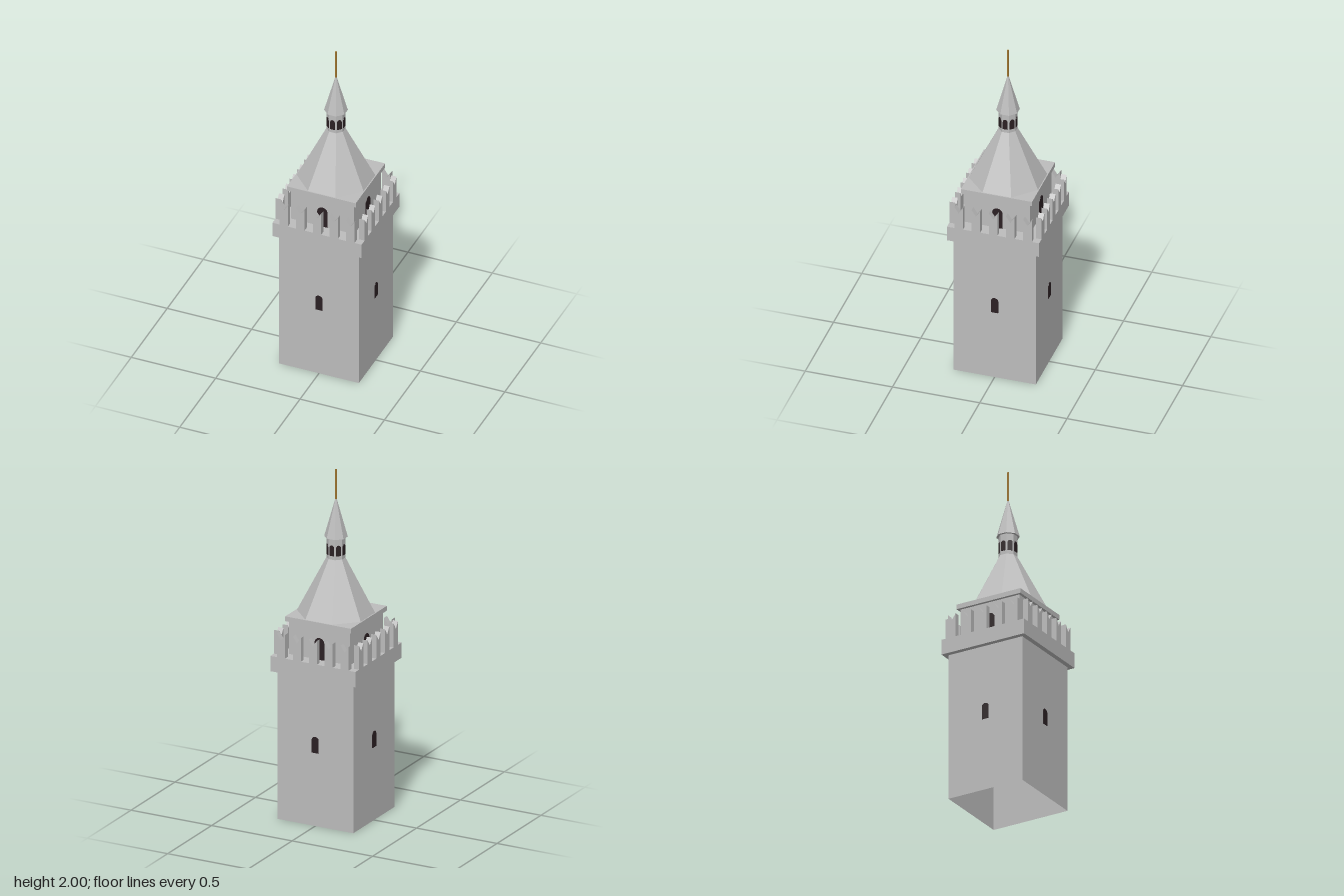
import * as THREE from 'three';
import { toCreasedNormals } from 'three/addons/utils/BufferGeometryUtils.js';

const stone = new THREE.MeshStandardMaterial({ color: 0xbcbcbc });
stone.name = 'stone';
const stoneShell = new THREE.MeshStandardMaterial({ color: 0xbcbcbc, side: THREE.DoubleSide });
stoneShell.name = 'stone shell';
const dark = new THREE.MeshStandardMaterial({ color: 0x2b2023 });
dark.name = 'dark opening';
const gold = new THREE.MeshStandardMaterial({ color: 0xa87c32 });
gold.name = 'gold';

function add(parent, name, geometry, material) {
  const mesh = new THREE.Mesh(geometry, material);
  mesh.name = name;
  parent.add(mesh);
  return mesh;
}

// Square block given by half width and bottom / top heights
function block(parent, name, half, y0, y1) {
  const mesh = add(parent, name, new THREE.BoxGeometry(half * 2, y1 - y0, half * 2), stone);
  mesh.position.y = (y0 + y1) / 2;
}

// Faceted prism or cone with flats facing the axes; sizes are centre-to-flat distances
function prism(parent, name, sides, low, high, y0, y1, material, open = false) {
  const k = 1 / Math.cos(Math.PI / sides);
  const geo = new THREE.CylinderGeometry(high * k, low * k, y1 - y0, sides, 1, open);
  geo.rotateY(Math.PI / sides);
  geo.translate(0, (y0 + y1) / 2, 0);
  add(parent, name, toCreasedNormals(geo, 0.3), material);
}

// Thin arched plates, one on each of the tower's flats
function openings(parent, name, count, half, y0, spring, y1, distance) {
  const shape = new THREE.Shape();
  shape.moveTo(-half, y0);
  shape.lineTo(half, y0);
  shape.lineTo(half, spring);
  const steps = 6;
  for (let i = 1; i <= steps; i++) {
    const a = (i / steps) * Math.PI;
    shape.lineTo(half * Math.cos(a), spring + (y1 - spring) * Math.sin(a));
  }
  const geo = new THREE.ExtrudeGeometry(shape, { depth: 0.006, bevelEnabled: false });
  geo.translate(0, 0, distance - 0.003);
  for (let i = 0; i < count; i++) {
    add(parent, name, geo, dark).rotation.y = (i / count) * Math.PI * 2;
  }
}

// Swallow-tail merlons, five along each side of the parapet
function battlements(parent) {
  const w = 0.0247;
  const shape = new THREE.Shape();
  shape.moveTo(-w, 0.95);
  shape.lineTo(w, 0.95);
  shape.lineTo(w, 1.09);
  shape.lineTo(0, 1.053);
  shape.lineTo(-w, 1.09);
  const geo = new THREE.ExtrudeGeometry(shape, { depth: 0.032, bevelEnabled: false });
  for (let side = 0; side < 4; side++) {
    const row = new THREE.Group();
    row.name = 'battlementRow';
    row.rotation.y = (side * Math.PI) / 2;
    for (let i = -2; i <= 2; i++) {
      add(row, 'merlon', geo, stone).position.set(i * 0.0987, 0, 0.232);
    }
    parent.add(row);
  }
}

export function createModel() {
  const tower = new THREE.Group();
  tower.name = 'tower';

  // Main shaft, hollow and open underneath
  prism(tower, 'shaft', 4, 0.236, 0.236, 0, 0.863, stoneShell, true);
  openings(tower, 'shaftWindow', 4, 0.021, 0.425, 0.5, 0.519, 0.236);

  // Overhanging gallery with battlements
  block(tower, 'gallery', 0.264, 0.863, 0.952);
  battlements(tower);

  // Upper chamber and eaves
  block(tower, 'upperChamber', 0.188, 0.952, 1.145);
  openings(tower, 'chamberDoor', 4, 0.03, 0.952, 1.05, 1.078, 0.188);
  block(tower, 'eaves', 0.204, 1.145, 1.173);

  // Octagonal roof, lantern and spire
  prism(tower, 'roof', 8, 0.198, 0.048, 1.173, 1.488, stone);
  prism(tower, 'lantern', 8, 0.048, 0.048, 1.488, 1.61, stone);
  openings(tower, 'lanternWindow', 8, 0.014, 1.51, 1.555, 1.571, 0.048);
  prism(tower, 'spire', 8, 0.06, 0.001, 1.61, 1.838, stone);

  // Pole at the tip
  prism(tower, 'pole', 8, 0.004, 0.004, 1.82, 2, gold);

  return tower;
}
